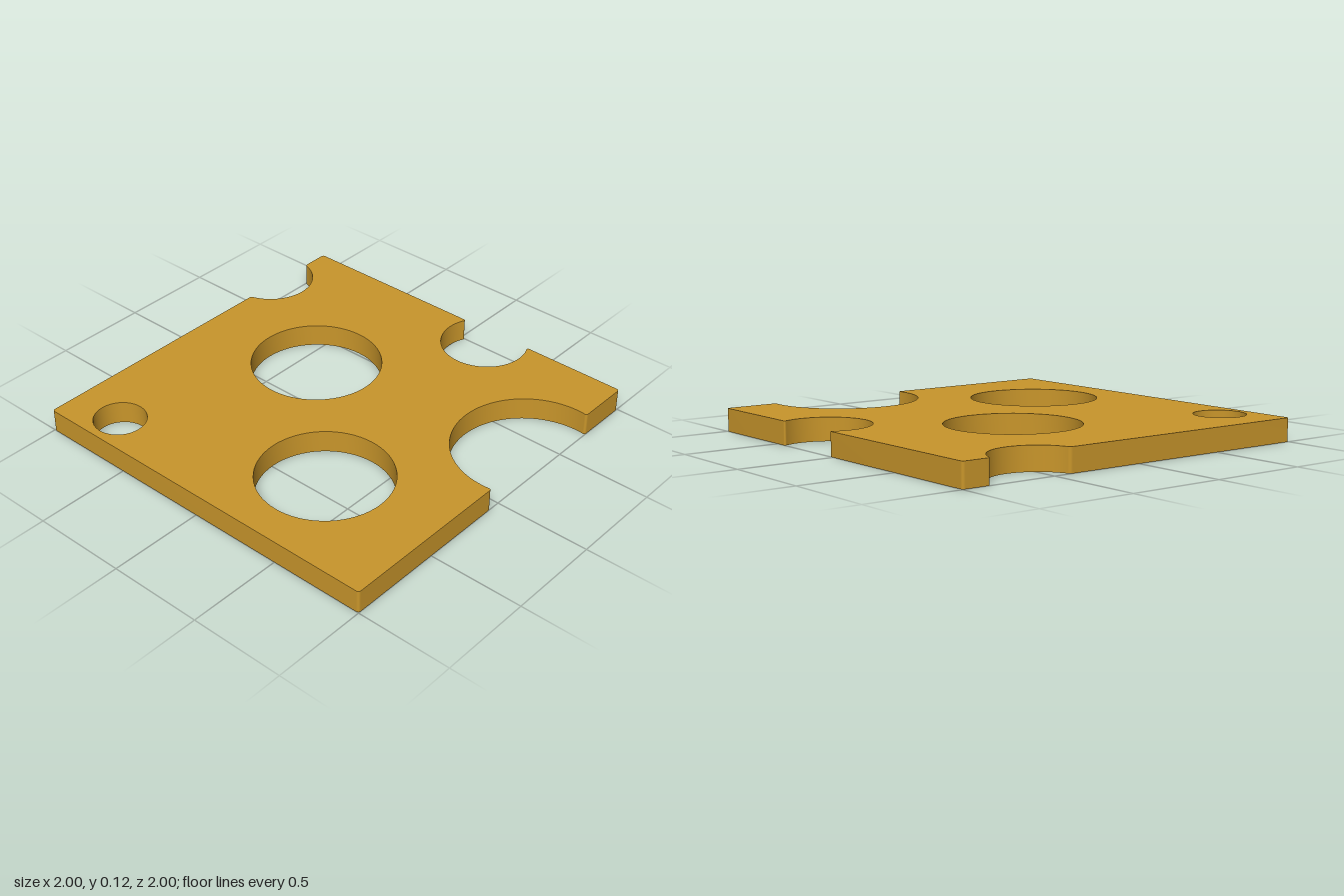
import * as THREE from 'three';
import { toCreasedNormals } from 'three/addons/utils/BufferGeometryUtils.js';

const THICKNESS = 0.12;
const FILLET = 0.015;

// Circular bites per edge (front, right, back, left):
// u runs along the edge counter-clockwise, w is the centre's distance inward.
const notches = [
  { u: 0.326, w: 0.056, r: 0.391 },
  { u: -0.228, w: 0.105, r: 0.227 },
  { u: -0.632, w: -0.053, r: 0.227 },
  null,
];

// Through holes: x, z, radius
const holes = [
  [-0.825, -0.70, 0.133],
  [0.18, -0.31, 0.337],
  [-0.49, 0.35, 0.337],
];

function plateShape() {
  const shape = new THREE.Shape();
  notches.forEach((notch, i) => {
    const turn = i * Math.PI / 2;
    const at = (u, w) => new THREE.Vector2(u, w - 1).rotateAround(new THREE.Vector2(), turn);
    const round = (corner, end) => shape.quadraticCurveTo(corner.x, corner.y, end.x, end.y);
    const line = (p) => shape.lineTo(p.x, p.y);

    // Start of the edge, just past the rounded corner
    const start = at(-1 + FILLET, 0);
    if (i === 0) shape.moveTo(start.x, start.y);

    if (notch) {
      const { u, w, r } = notch;
      const half = Math.sqrt(r * r - w * w);
      const tilt = Math.asin(w / r) - FILLET / r;
      const a0 = Math.PI + tilt, a1 = -tilt;
      const onArc = (a) => at(u + r * Math.cos(a), w + r * Math.sin(a));
      const c = at(u, w);
      line(at(u - half - FILLET, 0));
      round(at(u - half, 0), onArc(a0));
      shape.absarc(c.x, c.y, r, a0 + turn, a1 + turn, true);
      round(at(u + half, 0), at(u + half + FILLET, 0));
    }

    // Rounded outer corner
    line(at(1 - FILLET, 0));
    round(at(1, 0), at(1, FILLET));
  });

  for (const [x, z, r] of holes) {
    shape.holes.push(new THREE.Path().absarc(x, -z, r, 0, Math.PI * 2, true));
  }
  return shape;
}

export function createModel() {
  const group = new THREE.Group();
  group.name = 'perforatedPlate';

  let geometry = new THREE.ExtrudeGeometry(plateShape(), {
    depth: THICKNESS, bevelEnabled: false, curveSegments: 32,
  });
  geometry.rotateX(-Math.PI / 2);

  // Smooth hole walls, sharp rims (enlarged so close vertices stay distinct)
  geometry.scale(100, 100, 100);
  geometry = toCreasedNormals(geometry, 0.6);
  geometry.scale(0.01, 0.01, 0.01);

  const plate = new THREE.Mesh(geometry, new THREE.MeshStandardMaterial({ color: 0xc9962b }));
  plate.name = 'plate';
  group.add(plate);
  return group;
}
